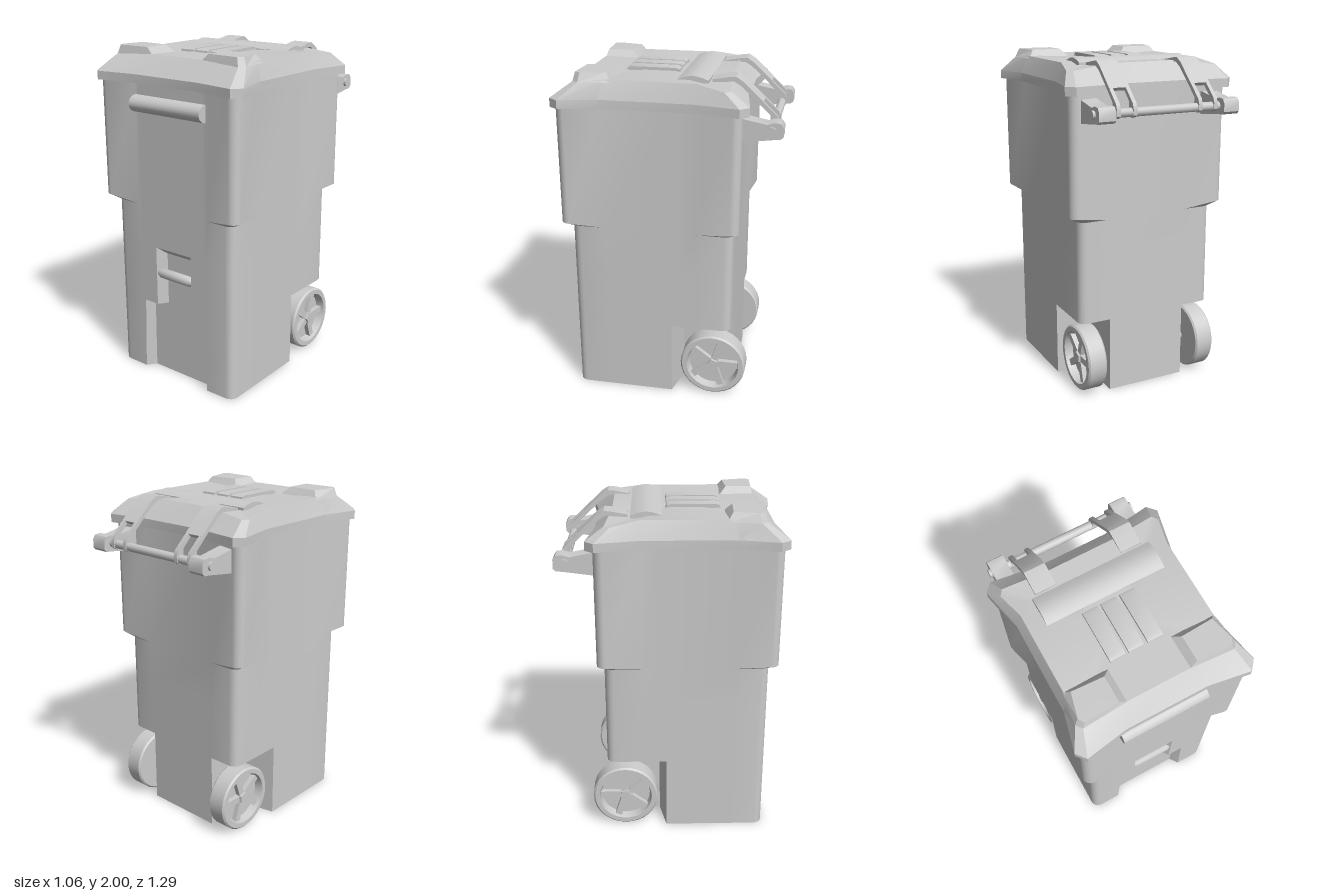
import * as THREE from 'three';
import { toCreasedNormals } from 'three/addons/utils/BufferGeometryUtils.js';

const material = new THREE.MeshStandardMaterial({ color: 0xcccccc, side: THREE.DoubleSide });

function addMesh(parent, name, geometry, crease = 0.6) {
  const plain = geometry.index ? geometry.toNonIndexed() : geometry;
  const mesh = new THREE.Mesh(toCreasedNormals(plain, crease), material);
  mesh.name = name;
  parent.add(mesh);
  return mesh;
}

// Skin closed rings of [x, y, z] points; zero-area triangles are left out.
function loft(rings) {
  const out = [];
  const tri = (...p) => {
    const [a, b, c] = p.map(q => new THREE.Vector3(...q));
    if (b.clone().sub(a).cross(c.clone().sub(a)).length() > 1e-7) p.forEach(q => out.push(...q));
  };
  for (let i = 0; i + 1 < rings.length; i++) {
    const lo = rings[i], hi = rings[i + 1], n = lo.length;
    for (let j = 0; j < n; j++) {
      const k = (j + 1) % n;
      tri(lo[j], lo[k], hi[k]);
      tri(lo[j], hi[k], hi[j]);
    }
  }
  const g = new THREE.BufferGeometry();
  g.setAttribute('position', new THREE.Float32BufferAttribute(out, 3));
  return g;
}

// Complete a +x half outline (front to back) of [x, z, own y] with its mirror image.
function ring(half, y) {
  const right = half.map(([x, z, py = y]) => [x, py, z]);
  return [...right, ...right.map(([x, py, z]) => [-x, py, z]).reverse()];
}

// Extrude a [z, y] profile across x.
function extrudeX(profile, x0, x1) {
  const shape = new THREE.Shape(profile.map(([z, y]) => new THREE.Vector2(-z, y)));
  return new THREE.ExtrudeGeometry(shape, { depth: x1 - x0, bevelEnabled: false })
    .rotateY(Math.PI / 2).translate(x0, 0, 0);
}

// Quarter-round corner; dir +1 turns front to side, -1 turns side to back.
function corner(x, z, r, dir, y) {
  return Array.from({ length: 5 }, (_, i) => {
    const a = (dir > 0 ? 4 - i : i) / 4 * Math.PI / 2;
    return [x - r + r * Math.cos(a), z + dir * (r * Math.sin(a) - r), y];
  });
}

function bodyGeometry() {
  const F = 0.57, B = -0.39, W = 0.44, inF = 0.515, inX = 0.25;
  const side = [[W, 0.37], [W, -0.03], [W, -0.07], [W, -0.17]];
  const frontCorner = corner(W, F, 0.05, 1), backCorner = corner(W, B, 0.05, -1);

  // Foot: front recess and the two wheel notches
  const foot = (outer, inner) => [
    [0.095, inF], [0.135, inF], [inner, inF], [outer, F], [0.26, F], ...frontCorner,
    [W, 0.37], [W, -0.03], [inX, -0.07], [inX, -0.17],
    ...backCorner.map(() => [inX, B]), [inX, B]];
  // Middle: only the narrow handle slot remains
  const middle = (slotX, slotZ, slotY, outerY) => [
    [slotX, slotZ, slotY], [0.135, F, outerY], [0.205, F], [0.235, F], [0.26, F], ...frontCorner,
    ...side, ...backCorner, [0.26, B]];
  // Top: corners flare out, the middle of each wall runs straight on
  const upper = y => [
    [0.135, F], [0.135, F], [0.205, F], [0.235, F], [0.26, F], ...corner(0.5, 0.62, 0.05, 1, y),
    ...side, ...corner(0.5, -0.43, 0.05, -1, y), [0.26, B]];

  return loft([
    ring(foot(0.25, 0.21), 0), ring(foot(0.235, 0.205), 0.46),
    ring(middle(0.095, inF), 0.46), ring(middle(0.095, inF, 0.785, 0.83), 0.83),
    ring(middle(0.135, F), 0.83), ring(middle(0.135, F), 1.08),
    ring(upper(1.115), 1.08), ring(upper(1.83), 1.83)]);
}

function addLid(parent) {
  const lid = new THREE.Group();
  lid.name = 'lid';
  parent.add(lid);
  const rim = [[0.24, 0.605], [0.485, 0.645], [0.53, 0.59], [0.475, 0.37],
    [0.475, -0.17], [0.53, -0.42], [0.485, -0.47], [0.2, -0.43]];
  const plateau = [[0.17, 0.505], [0.44, 0.52, 1.95], [0.467, 0.485, 1.95], [0.44, 0.345],
    [0.44, -0.17], [0.48, -0.33, 1.935], [0.455, -0.365, 1.935], [0.2, -0.33]];
  const inner = rim.map(([x, z]) => [x * 0.91, (z - 0.09) * 0.91 + 0.09]);
  addMesh(lid, 'lidShell', loft([ring(inner, 1.81), ring(rim, 1.81), ring(rim, 1.86),
    ring(plateau, 1.965), ring(plateau.map(() => [0, 0.09]), 1.965)]), 0.3);

  // Raised pads on the front corners
  const base = [[0.17, 0.508], [0.44, 0.52], [0.467, 0.485], [0.445, 0.3], [0.175, 0.3]];
  const top = [[0.225, 0.497], [0.425, 0.508], [0.445, 0.475], [0.41, 0.335], [0.225, 0.345]];
  for (const s of [1, -1]) {
    const level = (pts, y) => {
      const r = pts.map(([x, z]) => [s * x, y, z]);
      return s > 0 ? r : r.reverse();
    };
    addMesh(lid, 'cornerPad', loft([level(base, 1.95), level(top, 2),
      level(top.map(() => [0.33, 0.42]), 2)]), 0.3);
  }

  // Long cross hump and three ribs with gently domed tops
  const hump = [[-0.05, 1.95]];
  for (let i = 0; i <= 10; i++)
    hump.push([-0.05 - 0.0175 * i, 1.965 + 0.022 * Math.sin(Math.PI * i / 10)]);
  hump.push([-0.225, 1.95]);
  addMesh(lid, 'crossHump', extrudeX(hump, -0.345, 0.355));
  for (const x of [-0.112, -0.004, 0.108])
    addMesh(lid, 'rib', extrudeX([[0.287, 1.95], [0.282, 1.975], [0.26, 1.982], [0, 1.982],
      [-0.022, 1.975], [-0.027, 1.95]], x - 0.045, x + 0.045));
}

function addHinge(parent) {
  const hinge = new THREE.Group();
  hinge.name = 'hinge';
  parent.add(hinge);
  addMesh(hinge, 'hingeRod', new THREE.CylinderGeometry(0.025, 0.025, 0.91, 12)
    .rotateZ(Math.PI / 2).translate(0, 1.725, -0.587));
  const bracket = [[-0.38, 1.79], [-0.43, 1.785], [-0.56, 1.76], [-0.6, 1.772], [-0.635, 1.768],
    [-0.65, 1.745], [-0.65, 1.695], [-0.635, 1.68], [-0.6, 1.678], [-0.43, 1.655], [-0.38, 1.655]];
  const strap = [[-0.24, 1.965], [-0.335, 1.982], [-0.37, 1.985], [-0.41, 1.96], [-0.525, 1.852],
    [-0.51, 1.834], [-0.4, 1.935], [-0.36, 1.958], [-0.24, 1.95]];
  const fork = [[-0.5, 1.875], [-0.605, 1.776], [-0.617, 1.745], [-0.615, 1.71], [-0.59, 1.695],
    [-0.565, 1.71], [-0.565, 1.78], [-0.487, 1.855]];
  for (const s of [1, -1]) {
    const across = (name, profile, a, b) =>
      addMesh(hinge, name, extrudeX(profile, Math.min(s * a, s * b), Math.max(s * a, s * b)));
    across('hingeBracket', bracket, 0.34, 0.44);
    across('lidStrap', strap, 0.195, 0.318);
    across('strapFork', fork, 0.195, 0.218);
    across('strapFork', fork, 0.295, 0.318);
  }
}

function addWheel(parent, s) {
  const wheel = new THREE.Group();
  wheel.name = s > 0 ? 'leftWheel' : 'rightWheel';
  const profile = [[0, -0.06], [0.19, -0.06], [0.2, -0.05], [0.2, 0.05], [0.19, 0.06],
    [0.162, 0.06], [0.15, 0.01], [0, 0.01]].map(p => new THREE.Vector2(...p));
  addMesh(wheel, 'tyre', new THREE.LatheGeometry(profile, 32));
  addMesh(wheel, 'hub', new THREE.CylinderGeometry(0.035, 0.04, 0.045, 5).translate(0, 0.03, 0));
  for (let i = 0; i < 5; i++)
    addMesh(wheel, 'spoke', new THREE.BoxGeometry(0.04, 0.03, 0.13).translate(0, 0.025, -0.09)
      .rotateY(i * Math.PI * 2 / 5));
  addMesh(wheel, 'axleStub', new THREE.CylinderGeometry(0.025, 0.025, 0.07, 12).translate(0, -0.09, 0));
  wheel.rotation.z = -s * Math.PI / 2;
  wheel.position.set(s * 0.37, 0.205, -0.283);
  parent.add(wheel);
}

export function createModel() {
  const model = new THREE.Group();
  model.name = 'wheeledBin';
  addMesh(model, 'body', bodyGeometry());
  addLid(model);
  addHinge(model);
  for (const s of [1, -1]) addWheel(model, s);

  // Rounded grip under the lid
  const grip = [];
  for (let i = 0; i <= 10; i++) {
    const a = Math.PI * (i / 10 - 0.5);
    grip.push([0.568 + 0.06 * Math.cos(a), 1.69 + 0.05 * Math.sin(a)]);
  }
  addMesh(model, 'frontGrip', extrudeX(grip, -0.26, 0.26));

  // Lift bar across the front slot
  const bar = [[0, -0.135], [0.018, -0.135], [0.03, -0.11], [0.03, 0.11], [0.018, 0.135], [0, 0.135]];
  addMesh(model, 'liftBar', new THREE.LatheGeometry(bar.map(p => new THREE.Vector2(...p)), 16)
    .rotateZ(Math.PI / 2).translate(0, 0.663, 0.545));
  return model;
}
